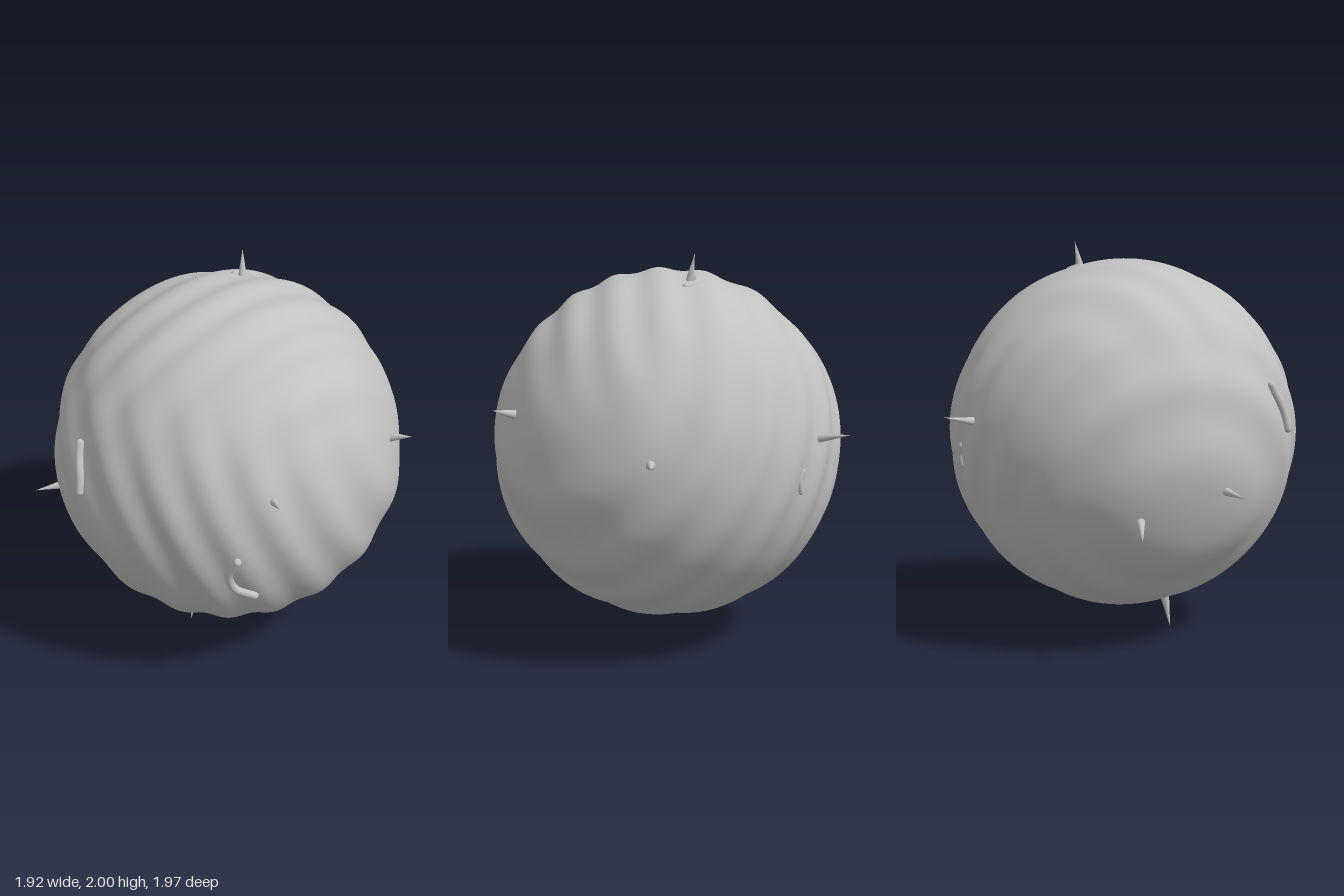
import * as THREE from 'three';
import { mergeVertices } from 'three/addons/utils/BufferGeometryUtils.js';

const CENTER = new THREE.Vector3(0.015, 1.02, 0.03);
const RADIUS = 0.885;
const sideAxis = new THREE.Vector3(0.88, 0.3, 0.37).normalize();
const topAxis = new THREE.Vector3(0.3, -0.25, 0.92).normalize();

// Surface radius in a direction: rippled bands that swing round near the crown
function surfaceRadius(dir) {
  const crown = THREE.MathUtils.smoothstep(dir.y, 0.25, 0.85);
  const side = Math.sin(dir.dot(sideAxis) * 24 + 0.8 * Math.sin(dir.y * 4));
  const top = Math.sin(dir.dot(topAxis) * 24 + 0.6 * Math.sin(dir.x * 4));
  return RADIUS + 0.009 * (side * (1 - crown) + top * crown);
}

function rippledBall() {
  let geo = new THREE.IcosahedronGeometry(1, 50);
  geo.deleteAttribute('normal');
  geo.deleteAttribute('uv');
  geo = mergeVertices(geo, 1e-5);
  const pos = geo.attributes.position;
  const v = new THREE.Vector3();
  for (let i = 0; i < pos.count; i++) {
    v.fromBufferAttribute(pos, i).normalize();
    v.multiplyScalar(surfaceRadius(v)).add(CENTER);
    pos.setXYZ(i, v.x, v.y, v.z);
  }
  geo.computeVertexNormals();
  return geo;
}

export function createModel() {
  const group = new THREE.Group();
  const grey = new THREE.MeshStandardMaterial({ color: 0xc0c0c0 });
  grey.name = 'grey';

  const add = (name, geo) => {
    const mesh = new THREE.Mesh(geo, grey);
    mesh.name = name;
    group.add(mesh);
    return mesh;
  };

  add('rippledBall', rippledBall());

  // Spikes, given by base and tip
  const spikes = [
    [[0.15, 1.86, -0.14], [0.16, 2.0, -0.17]],
    [[0.19, 1.135, -0.81], [0.215, 1.17, -0.985]],
    [[0.86, 1.1, -0.215], [0.96, 1.107, -0.255]],
    [[0.67, 1.245, 0.58], [0.74, 1.27, 0.65]],
    [[-0.07, 1.225, 0.87], [-0.08, 1.25, 0.985]],
    [[-0.82, 0.84, -0.15], [-0.965, 0.82, -0.17]],
    [[-0.2, 0.16, 0.125], [-0.235, 0.0, 0.13]],
    [[-0.62, 0.715, -0.51], [-0.72, 0.65, -0.6]],
  ];
  for (const [b, t] of spikes) {
    const base = new THREE.Vector3(...b);
    const tip = new THREE.Vector3(...t);
    const axis = tip.clone().sub(base);
    const length = axis.length() + 0.02;
    axis.normalize();
    const geo = new THREE.ConeGeometry(0.026, length, 16);
    const spike = add('spike', geo);
    spike.position.copy(tip).addScaledVector(axis, -length / 2);
    spike.quaternion.setFromUnitVectors(new THREE.Vector3(0, 1, 0), axis);
  }

  // Curved horns lying on the surface, with rounded ends
  const horns = [
    { lift: 0.012, points: [[-0.235, 0.935, 0.85], [-0.268, 0.84, 0.83], [-0.23, 0.74, 0.81], [-0.14, 0.69, 0.83]] },
    { lift: 0.012, points: [[-0.785, 1.3, 0.22], [-0.82, 1.25, 0.25], [-0.84, 1.18, 0.29], [-0.84, 1.09, 0.31]] },
    { lift: -0.008, points: [[0.12, 1.88, -0.17], [0.18, 1.88, -0.19], [0.235, 1.87, -0.155]] },
    { lift: -0.01, points: [[0.34, 1.0, -0.79], [0.36, 0.95, -0.79], [0.34, 0.9, -0.79]] },
  ];
  for (const { lift, points } of horns) {
    const onSurface = points.map((p) => {
      const d = new THREE.Vector3(...p).sub(CENTER).normalize();
      return d.multiplyScalar(surfaceRadius(d) + lift).add(CENTER);
    });
    const curve = new THREE.CatmullRomCurve3(onSurface);
    add('curvedHorn', new THREE.TubeGeometry(curve, 24, 0.02, 12));
    for (const end of [onSurface[0], onSurface[onSurface.length - 1]]) {
      add('hornEnd', new THREE.SphereGeometry(0.02, 12, 8)).position.copy(end);
    }
  }
  return group;
}
